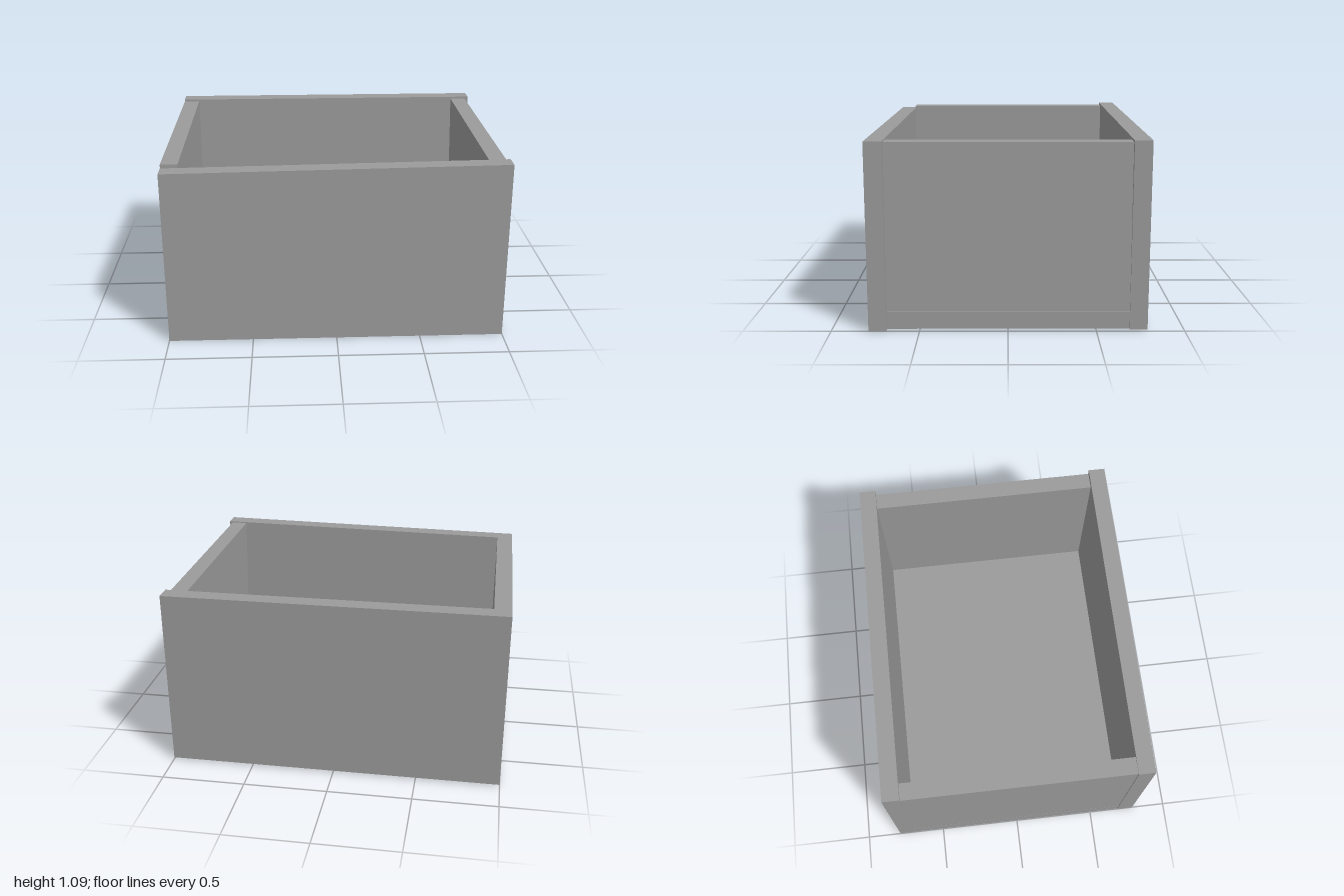
import * as THREE from 'three';

const material = new THREE.MeshStandardMaterial({ color: 0x9b9b9b });

// Board spanning the given ranges; its corners may be shifted by a rule
function board(name, [x0, x1], [y0, y1], [z0, z1], shift) {
  const geometry = new THREE.BoxGeometry(x1 - x0, y1 - y0, z1 - z0);
  geometry.translate((x0 + x1) / 2, (y0 + y1) / 2, (z0 + z1) / 2);
  if (shift) {
    const p = geometry.attributes.position;
    const v = new THREE.Vector3();
    for (let i = 0; i < p.count; i++) {
      shift(v.fromBufferAttribute(p, i));
      p.setXYZ(i, v.x, v.y, v.z);
    }
    geometry.computeVertexNormals();
  }
  const mesh = new THREE.Mesh(geometry, material);
  mesh.name = name;
  return mesh;
}

export function createModel() {
  const group = new THREE.Group();
  group.name = 'openBox';

  const sideDepth = [-0.687, 0.683];
  const sideHeight = [0.121, 1.075];

  group.add(
    board('floor', [-1, 1], [0.015, 0.116], sideDepth),
    board('backPanel', [-1, 1], [0.01, 1.088], [-0.789, -0.688]),
    // Top edge drops slightly towards -x
    board('frontPanel', [-1, 1], [0, 1.081], [0.688, 0.789], (v) => {
      if (v.y > 0.5 && v.x < 0) v.y = 1.054;
    }),
    board('rightWall', [-1, -0.9], sideHeight, sideDepth),
    // Leans slightly inwards at the top
    board('leftWall', [0.9, 1], sideHeight, sideDepth, (v) => {
      if (v.y > 0.5) v.x -= 0.022;
    }),
  );
  return group;
}
